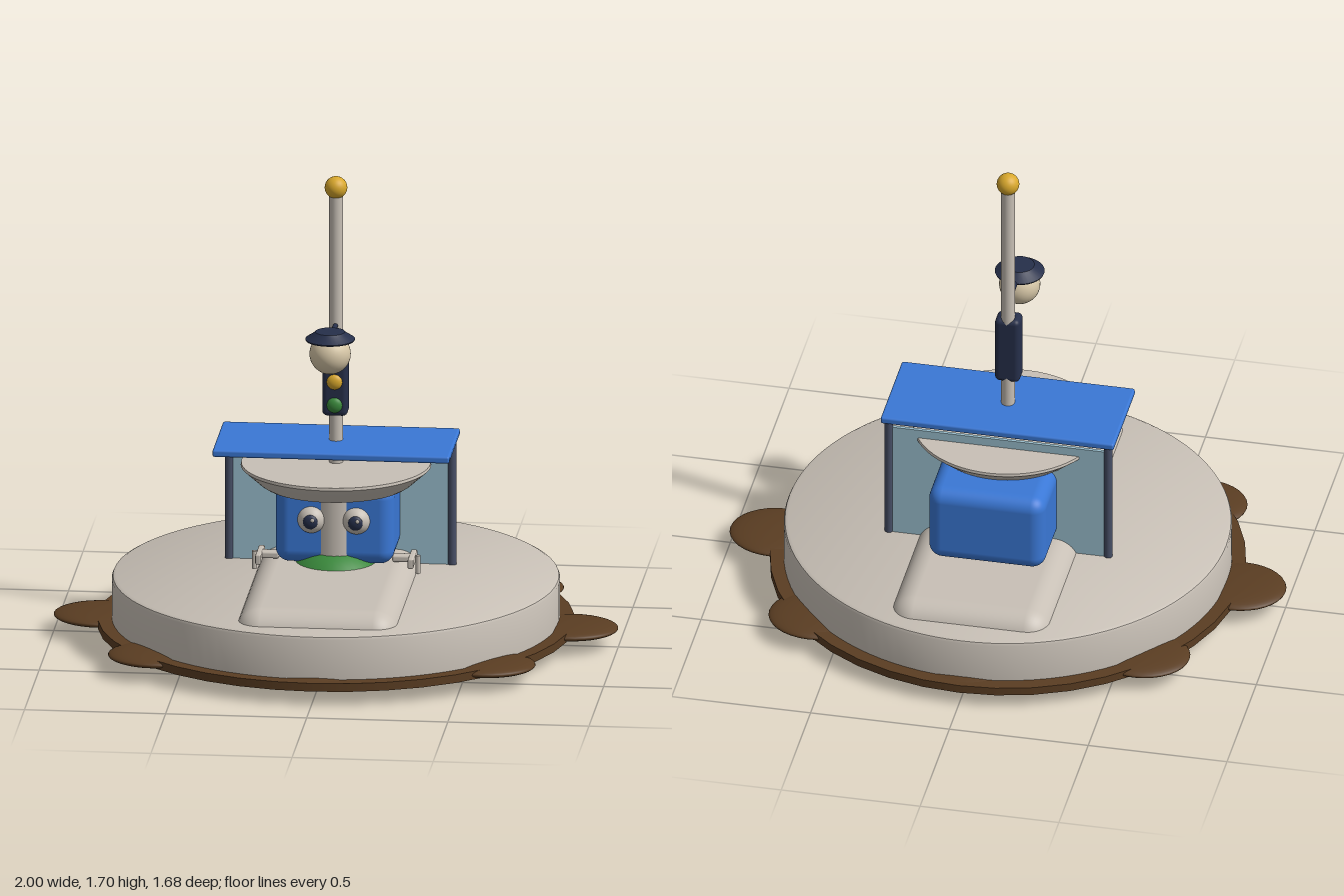
import * as THREE from 'three';
import { RoundedBoxGeometry } from 'three/addons/geometries/RoundedBoxGeometry.js';
import { toCreasedNormals } from 'three/addons/utils/BufferGeometryUtils.js';

function material(name, color) {
  const m = new THREE.MeshStandardMaterial({ color });
  m.name = name;
  return m;
}

const stone = material('stone', 0xc8c0b6);
const soil = material('soil', 0x5a3d22);
const blue = material('blue', 0x3a78d6);
const navy = material('navy', 0x262f4a);
const steel = material('steel', 0x474f66);
const gold = material('gold', 0xd9a82c);
const green = material('green', 0x3a8a3c);
const red = material('red', 0x9c3a26);
const glass = material('glass', 0x9abfce);
const cream = material('cream', 0xd8c8a8);

export function createModel() {
  const model = new THREE.Group();
  model.name = 'plazaIsland';

  function add(name, geometry, mat, x = 0, y = 0, z = 0, parent = model) {
    const mesh = new THREE.Mesh(geometry, mat);
    mesh.name = name;
    mesh.position.set(x, y, z);
    parent.add(mesh);
    return mesh;
  }
  const ball = (r, sx = 1, sy = 1, sz = 1) => new THREE.SphereGeometry(r, 32, 20).scale(sx, sy, sz);
  const rod = (r, h) => new THREE.CylinderGeometry(r, r, h, 24);
  const turned = (points, sides = 64) => toCreasedNormals(
    new THREE.LatheGeometry(points.map(([r, y]) => new THREE.Vector2(r, y)), sides), 0.6);

  // Soil disc ringed by flat mounds
  add('soilDisc', new THREE.CylinderGeometry(0.84, 0.84, 0.03, 40), soil, 0, 0.065, 0);
  for (let i = 0; i < 8; i++) {
    const a = (i * Math.PI) / 4;
    add('soilMound', ball(1, 0.17, 0.026, 0.15), soil, 0.83 * Math.cos(a), 0.066, 0.69 * Math.sin(a));
  }

  // Round base with a softened rim, and the long raised slab through it
  add('base', turned([[0, 0.06], [0.79, 0.06], [0.79, 0.225], [0.786, 0.234], [0.775, 0.24], [0, 0.24]], 96), stone);
  add('slab', new RoundedBoxGeometry(0.58, 0.26, 1.41, 6, 0.09), stone, 0, 0.16, 0);
  add('grassDome', ball(1, 0.19, 0.175, 0.19), green, 0, 0.175, 0);

  // Stem, wide cap and rounded cabin
  add('stem', rod(0.09, 0.4), stone, 0, 0.4, 0);
  add('cap', turned([[0, 0.575], [0.26, 0.575], [0.275, 0.585], [0.325, 0.63], [0.336, 0.64], [0.334, 0.65], [0, 0.65]]), stone);
  add('cabin', new RoundedBoxGeometry(0.42, 0.29, 0.47, 5, 0.05), blue, 0, 0.437, -0.157);

  // Eyes and small side handles, mirrored
  for (const s of [-1, 1]) {
    add('eyeball', ball(0.05), stone, s * 0.08, 0.457, 0.066);
    add('pupil', ball(0.026, 1, 1, 0.5), navy, s * 0.08, 0.457, 0.108);
    add('pupilGlint', ball(0.007, 1, 1, 0.5), stone, s * 0.08 + 0.008, 0.466, 0.119);

    const handle = new THREE.Group();
    handle.name = 'sideHandle';
    add('handleArm', new RoundedBoxGeometry(0.08, 0.025, 0.04, 2, 0.008), stone, s * 0.24, 0.305, 0, handle);
    add('handleBar', new RoundedBoxGeometry(0.02, 0.038, 0.13, 2, 0.006), stone, s * 0.27, 0.3, 0, handle);
    add('handleTip', new RoundedBoxGeometry(0.02, 0.03, 0.018, 2, 0.005), stone, s * 0.27, 0.297, -0.076, handle);
    add('handleHook', rod(0.009, 0.065), stone, s * 0.29, 0.28, -0.008, handle);
    model.add(handle);
  }

  // Shelter: roof, two rear posts and a glass back
  add('shelterRoof', new RoundedBoxGeometry(0.84, 0.026, 0.37, 2, 0.008), blue, 0, 0.719, -0.004);
  for (const s of [-1, 1]) add('shelterPost', rod(0.015, 0.48), steel, s * 0.395, 0.47, -0.16);
  add('glassBack', new THREE.BoxGeometry(0.77, 0.45, 0.012), glass, 0, 0.457, -0.16);

  // Tall pole with a ball finial
  add('pole', rod(0.024, 1.4), stone, 0, 0.93, 0);
  add('finial', ball(0.04), gold, 0, 1.657, 0);

  // Signal box with three lenses
  add('signalBox', new RoundedBoxGeometry(0.09, 0.26, 0.076, 4, 0.018), navy, 0, 0.96, 0.014);
  [[0.872, green], [0.957, gold], [1.042, red]].forEach(([y, mat]) =>
    add('signalLens', ball(0.028, 1, 1, 0.6), mat, 0, y, 0.05));

  // Street lamp: arm, shade and globe
  add('lampArm', rod(0.009, 0.22).rotateX(Math.PI / 2), navy, 0, 1.156, 0.09);
  add('lampShade', turned([[0, 1.155], [0.086, 1.155], [0.088, 1.16], [0.06, 1.178], [0.052, 1.186], [0, 1.186]], 32), navy, 0, 0, 0.2);
  add('lampGlobe', ball(0.073), cream, 0, 1.105, 0.2);

  return model;
}
